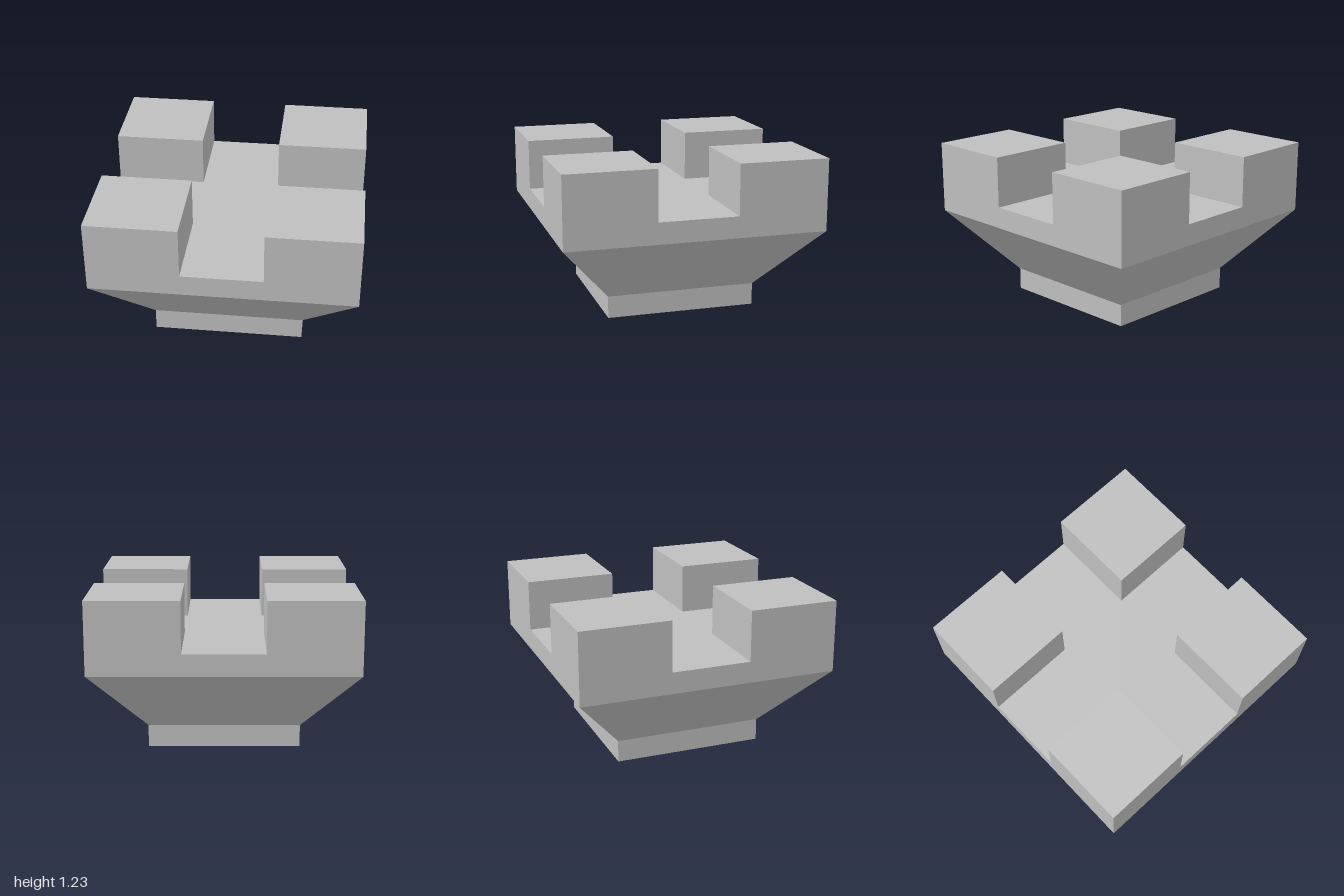
import * as THREE from 'three';

export function createModel() {
  const model = new THREE.Group();
  const stone = new THREE.MeshStandardMaterial({ color: 0xbfbfbf, flatShading: true });
  stone.name = 'stone grey';

  function add(name, geometry, x, y, z) {
    const mesh = new THREE.Mesh(geometry, stone);
    mesh.name = name;
    mesh.position.set(x, y, z);
    model.add(mesh);
  }

  const baseHalf = 0.58, baseTop = 0.17, flareTop = 0.67;
  const deckTop = 0.835, top = 1.225, notchHalf = 0.307;

  // Square foot
  add('foot', new THREE.BoxGeometry(baseHalf * 2, baseTop, baseHalf * 2), 0, baseTop / 2, 0);

  // Four-sided flare widening up to the deck
  const flare = new THREE.CylinderGeometry(Math.SQRT2, baseHalf * Math.SQRT2, flareTop - baseTop, 4, 1, true);
  flare.rotateY(Math.PI / 4);
  add('flare', flare, 0, (baseTop + flareTop) / 2, 0);

  // Deck slab
  add('deck', new THREE.BoxGeometry(2, deckTop - flareTop, 2), 0, (flareTop + deckTop) / 2, 0);

  // Corner battlements, separated by cross-shaped notches
  const size = 1 - notchHalf, centre = (1 + notchHalf) / 2;
  const block = new THREE.BoxGeometry(size, top - deckTop, size);
  for (const x of [-1, 1]) {
    for (const z of [-1, 1]) {
      const name = (z > 0 ? 'front' : 'back') + (x > 0 ? 'Left' : 'Right') + 'Battlement';
      add(name, block, x * centre, (deckTop + top) / 2, z * centre);
    }
  }
  return model;
}
